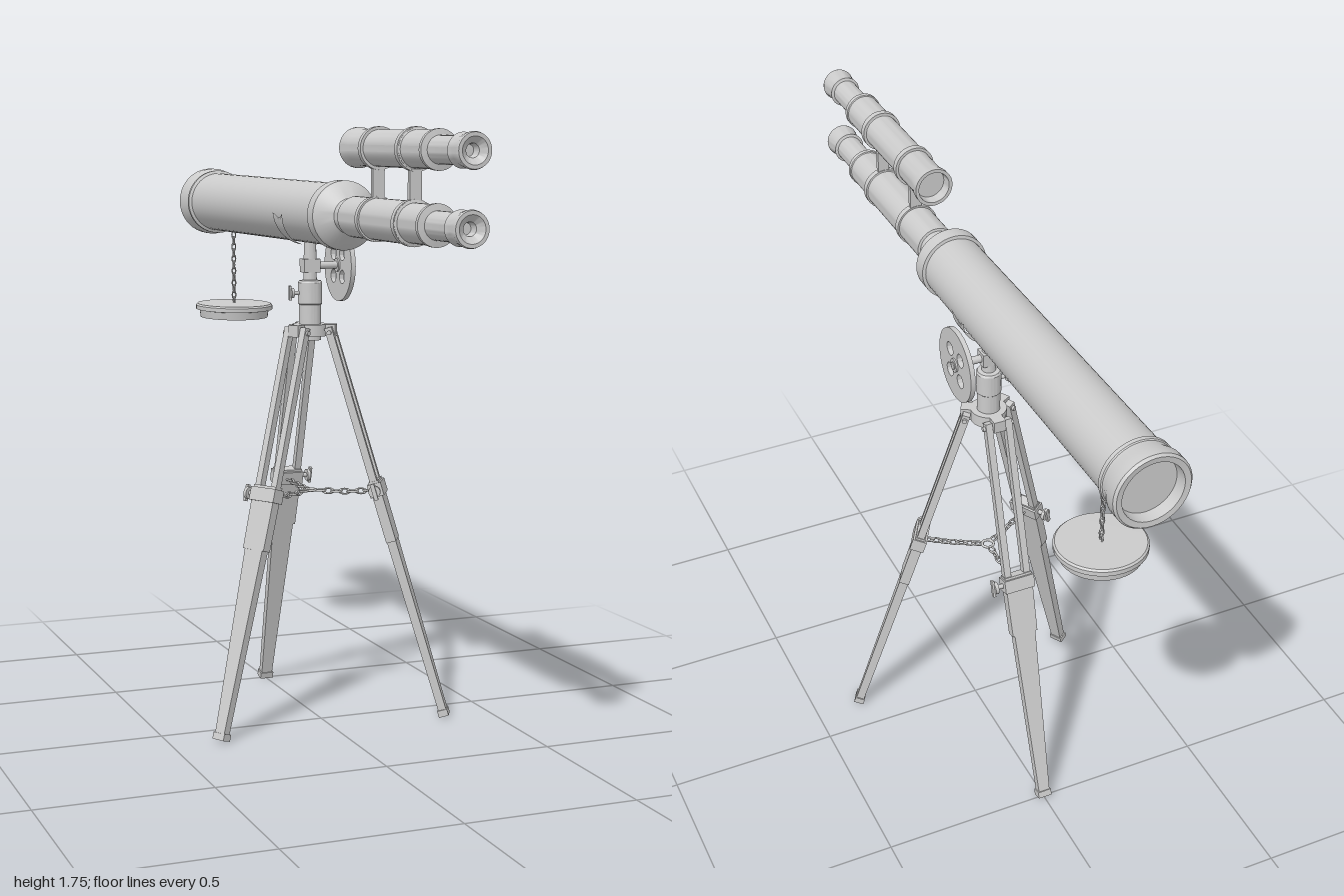
import * as THREE from 'three';
import { toCreasedNormals } from 'three/addons/utils/BufferGeometryUtils.js';

const grey = new THREE.MeshStandardMaterial({ color: 0xcccccc });
const greyDouble = new THREE.MeshStandardMaterial({ color: 0xcccccc, side: THREE.DoubleSide });

function add(parent, name, geo, x = 0, y = 0, z = 0, mat = grey) {
  const m = new THREE.Mesh(geo, mat);
  m.name = name;
  m.position.set(x, y, z);
  parent.add(m);
  return m;
}
function group(parent, name) {
  const g = new THREE.Group();
  g.name = name;
  parent.add(g);
  return g;
}
const box = (w, h, d) => new THREE.BoxGeometry(w, h, d);
const cyl = (r0, r1, h, n = 20) => new THREE.CylinderGeometry(r0, r1, h, n);

// Turned part; profile is [radius, height]
const turned = (pts, n = 36) =>
  toCreasedNormals(new THREE.LatheGeometry(pts.map(p => new THREE.Vector2(...p)), n), 0.5);

// Board tapering from width w0 (top) to w1 (bottom), hanging down from its origin
function taperedBoard(w0, w1, h, d0, d1) {
  const g = box(1, h, 1).translate(0, -h / 2, 0);
  const p = g.attributes.position;
  for (let i = 0; i < p.count; i++) {
    const top = p.getY(i) > -h / 2;
    p.setX(i, p.getX(i) * (top ? w0 : w1));
    p.setZ(i, p.getZ(i) * (top ? d0 : d1));
  }
  g.computeVertexNormals();
  return g;
}

// Chain of alternating links from a to b, with a slight sag
function chain(parent, name, a, b, pitch, sag = 0) {
  const g = group(parent, name);
  const n = Math.round(a.distanceTo(b) / pitch);
  const dir = b.clone().sub(a).normalize();
  const link = new THREE.TorusGeometry(pitch * 0.42, pitch * 0.14, 6, 10).scale(0.8, 1.5, 1);
  for (let i = 0; i < n; i++) {
    const t = (i + 0.5) / n;
    const m = add(g, 'chainLink', link);
    m.position.lerpVectors(a, b, t);
    m.position.y -= sag * 4 * t * (1 - t);
    m.quaternion.setFromUnitVectors(new THREE.Vector3(0, 1, 0), dir);
    m.rotateY((i % 2) * Math.PI / 2);
  }
}

// Thumb screw along -x
function thumbScrew(parent, x, y, z, s = 1) {
  const g = group(parent, 'thumbScrew');
  g.position.set(x, y, z);
  g.scale.setScalar(s);
  add(g, 'screwShaft', cyl(0.007, 0.007, 0.04, 10).rotateZ(Math.PI / 2), -0.01);
  add(g, 'screwHead', cyl(0.018, 0.018, 0.01, 16).rotateZ(Math.PI / 2), -0.025);
  add(g, 'screwWing', box(0.008, 0.05, 0.012), -0.032);
}

function buildOptics(root) {
  const g = group(root, 'telescope');
  g.position.set(-0.004, 1.507, 0);
  g.rotation.set(0.013, 0.009, 0);

  // Main tube, from the lens end to the eyepiece
  add(g, 'mainTube', turned([
    [0, -0.965], [0.082, -0.965], [0.086, -0.998], [0.102, -1], [0.108, -0.993], [0.108, -0.96],
    [0.1, -0.935], [0.1, -0.925], [0.103, -0.922], [0.103, -0.91], [0.094, -0.906],
    [0.089, 0.145], [0.098, 0.147], [0.098, 0.19], [0.09, 0.2], [0.056, 0.225], [0.05, 0.23],
    [0.05, 0.27], [0.057, 0.272], [0.057, 0.645], [0.06, 0.647], [0.06, 0.665], [0.053, 0.667],
    [0.053, 0.785], [0.056, 0.787], [0.056, 0.8], [0.038, 0.803], [0.038, 0.932], [0.046, 0.935],
    [0.042, 0.955], [0.048, 0.992], [0.046, 1], [0.036, 1], [0.018, 0.985], [0.015, 0.96], [0, 0.96],
  ], 40).rotateX(Math.PI / 2));

  // Finder scope above it
  add(g, 'finderScope', turned([
    [0, 0.3], [0.043, 0.3], [0.046, 0.27], [0.056, 0.27], [0.056, 0.285], [0.05, 0.315], [0.05, 0.645],
    [0.054, 0.647], [0.054, 0.665], [0.05, 0.667], [0.05, 0.785], [0.053, 0.787], [0.053, 0.8],
    [0.037, 0.803], [0.037, 0.932], [0.045, 0.935], [0.041, 0.955], [0.047, 0.992], [0.045, 1],
    [0.035, 1], [0.018, 0.985], [0.015, 0.96], [0, 0.96],
  ]).rotateX(Math.PI / 2), 0.004, 0.19, 0);

  // Clamp bands and struts joining both tubes
  for (const z of [0.655, 0.415]) {
    add(g, 'mainBand', cyl(0.062, 0.062, 0.018, 32).rotateX(Math.PI / 2), 0, 0, z);
    add(g, 'finderBand', cyl(0.058, 0.058, 0.018, 32).rotateX(Math.PI / 2), 0.004, 0.19, z);
    add(g, 'finderStrut', box(0.034, 0.09, 0.014), 0.002, 0.096, z);
  }

  // Saddle: curved strip under the tube, widening towards both tips
  const strip = new THREE.PlaneGeometry(1, 1, 24, 2);
  const p = strip.attributes.position;
  for (let i = 0; i < p.count; i++) {
    const a = p.getX(i) * 3.1, k = Math.abs(a) / 1.55;
    const v = p.getY(i);
    const notch = v === 0 && k > 0.99 ? 0.85 : 1;
    p.setXYZ(i, Math.sin(a * notch) * 0.098, -Math.cos(a * notch) * 0.098, -0.09 + v * (0.02 + 0.06 * k));
  }
  strip.computeVertexNormals();
  add(g, 'saddle', strip, 0, 0, 0, greyDouble);
}

function buildLensCap(root) {
  chain(root, 'capChain', new THREE.Vector3(-0.01, 1.425, -0.76), new THREE.Vector3(-0.01, 1.19, -0.76), 0.019);
  // Shallow cap, open underneath
  const cap = add(root, 'lensCap', turned([
    [0, 1.176], [0.1, 1.176], [0.104, 1.148], [0.11, 1.148], [0.113, 1.172], [0.125, 1.174],
    [0.125, 1.187], [0.12, 1.192], [0, 1.194],
  ].map(([r, y]) => [r, y - 1.172])), -0.01, 1.172, -0.76);
  cap.rotation.x = 0.04;
}

function buildMount(root) {
  const g = group(root, 'mount');
  g.position.z = -0.09;
  add(g, 'post', turned([
    [0, 1.13], [0.033, 1.13], [0.033, 1.235], [0.036, 1.238], [0.036, 1.3], [0.032, 1.306],
    [0.02, 1.308], [0.018, 1.42], [0, 1.42],
  ], 24));
  add(g, 'pivotBlock', box(0.05, 0.04, 0.04), 0, 1.35, 0);
  add(g, 'wheelAxle', cyl(0.011, 0.011, 0.12, 14).rotateZ(Math.PI / 2), 0.05, 1.35, 0);
  thumbScrew(g, -0.036, 1.27, 0, 0.85);

  // Hand wheel with round cut-outs
  const disc = new THREE.Shape().absarc(0, 0, 0.107, 0, Math.PI * 2);
  for (let i = 0; i < 4; i++) {
    const a = Math.PI / 4 + i * Math.PI / 2;
    disc.holes.push(new THREE.Path().absarc(Math.cos(a) * 0.048, Math.sin(a) * 0.048, 0.02, 0, Math.PI * 2, true));
  }
  const wheel = new THREE.ExtrudeGeometry(disc, { depth: 0.014, bevelEnabled: false, curveSegments: 32 });
  add(g, 'handWheel', toCreasedNormals(wheel.rotateY(Math.PI / 2), 0.6), 0.088, 1.35, 0);
  add(g, 'wheelHub', cyl(0.02, 0.02, 0.024, 18).rotateZ(Math.PI / 2), 0.095, 1.35, 0);
}

function buildTripod(root) {
  const g = group(root, 'tripod');
  g.position.z = -0.09;
  add(g, 'tripodHead', cyl(0.052, 0.052, 0.035, 24), 0, 1.16, 0);

  const tilt = Math.atan2(0.345, 1.15), len = Math.hypot(0.345, 1.15);
  for (let i = 0; i < 3; i++) {
    const leg = group(g, 'leg');
    leg.rotation.y = Math.PI + i * Math.PI * 2 / 3;
    add(leg, 'headLug', box(0.036, 0.035, 0.06), 0, 1.16, 0.048);
    add(leg, 'hingePin', cyl(0.007, 0.007, 0.094, 10).rotateZ(Math.PI / 2), 0, 1.155, 0.063);

    // Parts along the sloping leg; the origin is the hinge
    const s = group(leg, 'legAssembly');
    s.position.set(0, 1.155, 0.063);
    s.rotation.x = -tilt;
    for (const x of [-0.03, 0.03]) add(s, 'upperRod', box(0.02, 0.52, 0.022), x, -0.245, 0);
    add(s, 'lowerSleeve', taperedBoard(0.084, 0.078, 0.19, 0.03, 0.03), 0, -0.46, 0);
    add(s, 'lowerLeg', taperedBoard(0.066, 0.034, len - 0.65, 0.027, 0.024), 0, -0.645, 0);
    add(s, 'foot', box(0.042, 0.02, 0.03), 0, -len + 0.004, 0);
    add(s, 'legClamp', box(0.092, 0.04, 0.042), 0, -0.487, 0);
    thumbScrew(s, -0.044, -0.487, 0);

    chain(leg, 'spreaderChain', new THREE.Vector3(0, 0.682, 0.19), new THREE.Vector3(0, 0.678, 0.018), 0.024, 0.004);
  }
  add(g, 'spreaderRing', new THREE.TorusGeometry(0.017, 0.004, 8, 20).rotateX(Math.PI / 2), 0, 0.678, 0);
}

export function createModel() {
  const root = new THREE.Group();
  root.name = 'telescopeOnTripod';
  buildOptics(root);
  buildLensCap(root);
  buildMount(root);
  buildTripod(root);
  return root;
}
